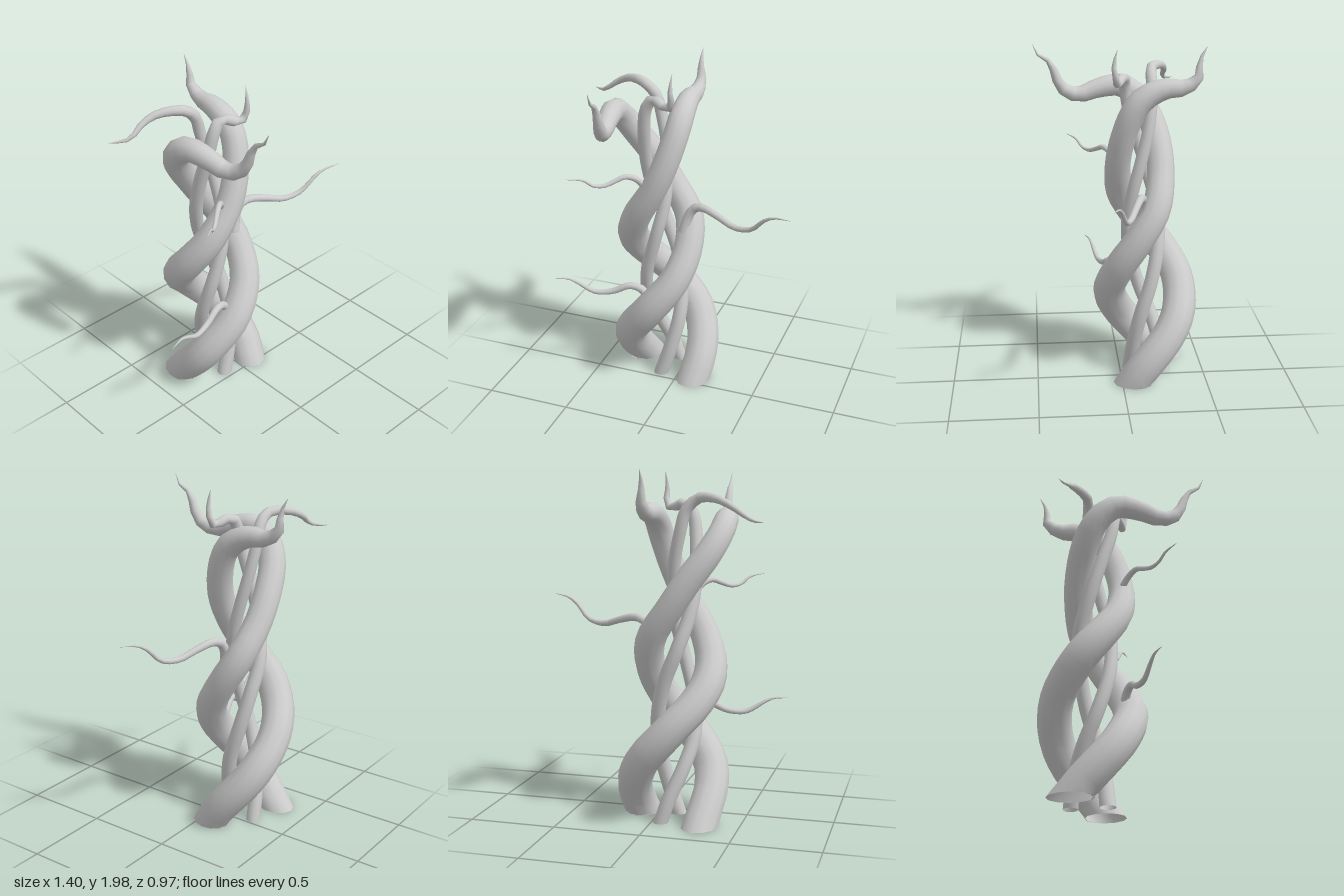
import * as THREE from 'three';

const SIDES = 12;
const GROUND = 0.008;

// Open tapered tube through [x, y, z, radius] points; rooted ones are cut level with the ground.
function taperedTube(points, rings, rooted) {
  const curve = new THREE.CatmullRomCurve3(points.map(p => new THREE.Vector3(p[0], p[1], p[2])));
  const frames = curve.computeFrenetFrames(rings);
  const last = points.length - 1;
  const pos = [], index = [];
  for (let i = 0; i <= rings; i++) {
    const u = i / rings;
    const centre = curve.getPointAt(u);
    const s = curve.getUtoTmapping(u) * last;
    const k = Math.min(Math.floor(s), last - 1);
    const radius = THREE.MathUtils.lerp(points[k][3], points[k + 1][3], s - k);
    for (let j = 0; j < SIDES; j++) {
      const a = j / SIDES * Math.PI * 2;
      const v = centre.clone()
        .addScaledVector(frames.normals[i], Math.cos(a) * radius)
        .addScaledVector(frames.binormals[i], Math.sin(a) * radius);
      if (rooted && i === 0) {
        const t = frames.tangents[0];
        v.addScaledVector(t, (GROUND - v.y) / t.y);
      } else if (rooted) v.y = Math.max(v.y, GROUND);
      pos.push(v.x, v.y, v.z);
      if (i < rings) {
        const p = i * SIDES + j, p1 = i * SIDES + (j + 1) % SIDES;
        index.push(p, p1, p + SIDES, p1, p1 + SIDES, p + SIDES);
      }
    }
  }
  const geo = new THREE.BufferGeometry();
  geo.setAttribute('position', new THREE.Float32BufferAttribute(pos, 3));
  geo.setIndex(index);
  geo.computeVertexNormals();
  return geo;
}

// Thick outer vines, half a turn apart, each ending in a horn
const thickVineForward = [
  [-0.28, 0, -0.27, 0.1], [-0.3, 0.1, -0.19, 0.1], [-0.31, 0.2, -0.1, 0.1], [-0.28, 0.32, -0.01, 0.1],
  [-0.13, 0.52, 0.06, 0.097], [0.0, 0.7, 0.01, 0.091], [0.05, 0.88, -0.1, 0.086], [0.02, 1.05, -0.2, 0.085],
  [-0.1, 1.23, -0.24, 0.08], [-0.2, 1.38, -0.235, 0.08], [-0.3, 1.52, -0.2, 0.078], [-0.36, 1.64, -0.13, 0.073],
  [-0.368, 1.71, -0.03, 0.068], [-0.35, 1.7, 0.1, 0.058], [-0.325, 1.665, 0.23, 0.045], [-0.3, 1.715, 0.325, 0.035],
  [-0.295, 1.8, 0.36, 0.025], [-0.295, 1.865, 0.39, 0.016], [-0.29, 1.9, 0.45, 0.009], [-0.29, 1.965, 0.485, 0.001],
];
const thickVineBackward = [
  [0.1, 0, -0.06, 0.1], [0.12, 0.1, -0.12, 0.1], [0.115, 0.2, -0.2, 0.1], [0.08, 0.3, -0.28, 0.1],
  [0.02, 0.4, -0.335, 0.1], [-0.07, 0.5, -0.357, 0.097], [-0.16, 0.6, -0.345, 0.095], [-0.25, 0.7, -0.29, 0.095],
  [-0.31, 0.82, -0.2, 0.095], [-0.305, 0.93, -0.11, 0.09], [-0.24, 1.08, -0.02, 0.085], [-0.13, 1.26, 0.01, 0.076],
  [-0.06, 1.42, -0.005, 0.075], [-0.01, 1.6, -0.06, 0.073], [0, 1.69, -0.12, 0.072], [0, 1.75, -0.24, 0.061],
  [0.005, 1.758, -0.36, 0.044], [0.005, 1.815, -0.435, 0.028], [0, 1.9, -0.438, 0.015], [0, 1.985, -0.48, 0.001],
];

// Thin inner vines
const thinVineFront = [
  [-0.11, 0, -0.06, 0.045], [-0.05, 0.2, -0.08, 0.044], [-0.01, 0.4, -0.12, 0.043], [-0.015, 0.6, -0.18, 0.042],
  [-0.06, 0.8, -0.22, 0.041], [-0.14, 1.0, -0.23, 0.04], [-0.2, 1.2, -0.18, 0.039], [-0.218, 1.4, -0.12, 0.038],
  [-0.205, 1.6, -0.06, 0.037], [-0.18, 1.74, -0.035, 0.034], [-0.135, 1.8, -0.03, 0.031], [-0.085, 1.785, 0, 0.028],
  [-0.045, 1.768, 0.015, 0.026], [-0.012, 1.79, 0.022, 0.021], [-0.01, 1.88, 0.04, 0.013], [-0.005, 1.97, 0.02, 0.001],
];
const thinVineBack = [
  [-0.05, 0, -0.26, 0.041], [-0.1, 0.15, -0.245, 0.041], [-0.17, 0.32, -0.2, 0.041], [-0.215, 0.5, -0.13, 0.04],
  [-0.2, 0.7, -0.07, 0.039], [-0.16, 0.85, -0.05, 0.038], [-0.12, 1.0, -0.05, 0.037], [-0.09, 1.15, -0.08, 0.036],
  [-0.088, 1.3, -0.12, 0.036], [-0.11, 1.5, -0.168, 0.035], [-0.145, 1.65, -0.188, 0.034], [-0.18, 1.77, -0.19, 0.033],
  [-0.25, 1.83, -0.195, 0.03], [-0.32, 1.835, -0.235, 0.026], [-0.39, 1.82, -0.275, 0.022], [-0.46, 1.785, -0.295, 0.018],
  [-0.54, 1.73, -0.295, 0.012], [-0.59, 1.713, -0.335, 0.007], [-0.635, 1.71, -0.365, 0.001],
];

// Side tendrils
const tendrilLeft = [
  [0.02, 0.98, -0.1, 0.032], [0.045, 1.08, -0.115, 0.029], [0.085, 1.14, -0.115, 0.026], [0.14, 1.155, -0.098, 0.024],
  [0.25, 1.13, -0.06, 0.02], [0.35, 1.1, -0.025, 0.018], [0.46, 1.12, 0.01, 0.014], [0.54, 1.2, 0.04, 0.011],
  [0.6, 1.235, 0.06, 0.007], [0.7, 1.25, 0.095, 0.001],
];
const tendrilRightLower = [
  [-0.14, 0.55, 0.02, 0.026], [-0.2, 0.63, 0.035, 0.024], [-0.265, 0.648, 0.055, 0.021], [-0.36, 0.605, 0.08, 0.018],
  [-0.465, 0.597, 0.11, 0.015], [-0.56, 0.65, 0.135, 0.011], [-0.615, 0.675, 0.15, 0.007], [-0.7, 0.675, 0.178, 0.001],
];
const tendrilRightUpper = [
  [-0.17, 1.27, 0.0, 0.02], [-0.215, 1.34, 0.045, 0.018], [-0.265, 1.362, 0.085, 0.016], [-0.305, 1.345, 0.115, 0.014],
  [-0.36, 1.322, 0.16, 0.012], [-0.41, 1.33, 0.2, 0.009], [-0.455, 1.37, 0.235, 0.007], [-0.53, 1.385, 0.29, 0.001],
];

export function createModel() {
  const group = new THREE.Group();
  group.name = 'twistedVines';
  const material = new THREE.MeshStandardMaterial({ color: 0xcccccc, side: THREE.DoubleSide });
  const parts = [
    ['thickVineForward', thickVineForward, 44, true],
    ['thickVineBackward', thickVineBackward, 44, true],
    ['thinVineFront', thinVineFront, 44, true],
    ['thinVineBack', thinVineBack, 48, true],
    ['tendrilLeft', tendrilLeft, 20, false],
    ['tendrilRightLower', tendrilRightLower, 20, false],
    ['tendrilRightUpper', tendrilRightUpper, 20, false],
  ];
  for (const [name, points, rings, rooted] of parts) {
    const mesh = new THREE.Mesh(taperedTube(points, rings, rooted), material);
    mesh.name = name;
    group.add(mesh);
  }
  return group;
}
